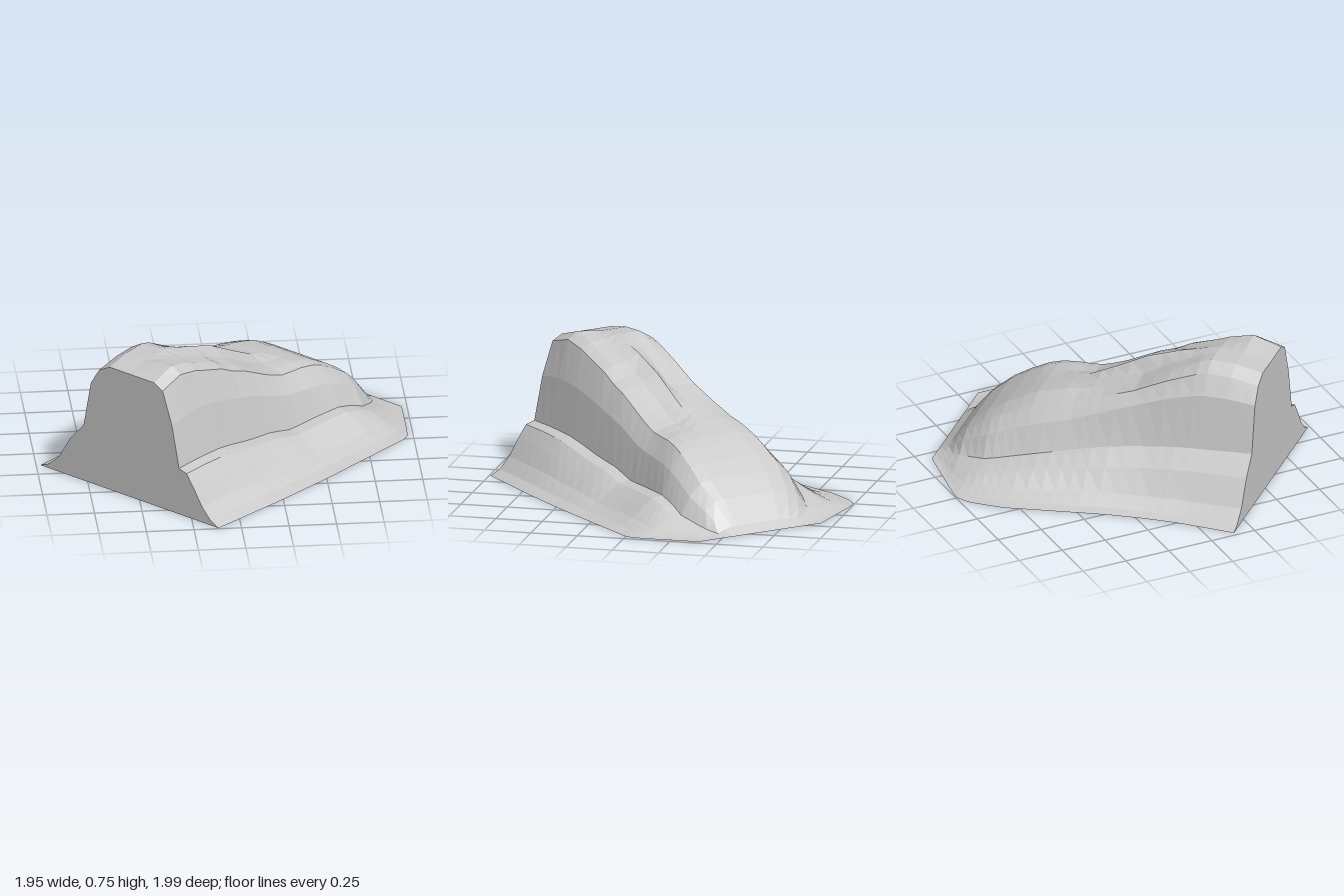
import * as THREE from 'three';

// Piecewise linear lookup in a list of [s, value] pairs
function rail(table, s) {
  for (let i = 1; i < table.length; i++) {
    const [s0, v0] = table[i - 1];
    const [s1, v1] = table[i];
    if (s <= s1) return v0 + (v1 - v0) * (s - s0) / (s1 - s0);
  }
  return table[table.length - 1][1];
}

// Rails running along the spur: s is the distance from the cut face
const outlineLeft = [[0, -0.603], [0.31, -0.595], [0.5, -0.607], [0.7, -0.631], [1.06, -0.70], [1.24, -0.735], [1.434, -0.735], [1.51, -0.70], [1.756, -0.352]];
const outlineRight = [[0, 0.606], [0.42, 0.641], [0.8, 0.66], [1.458, 0.668], [1.508, 0.65], [1.756, 0.402]];
const ledgeLeft = [[0, -0.31], [0.6, -0.34], [1.14, -0.40], [1.44, -0.417], [1.6, -0.36], [1.756, -0.25]];
const ledgeRight = [[0, 0.338], [0.4, 0.325], [0.8, 0.315], [1.1, 0.325], [1.3, 0.345], [1.5, 0.35], [1.64, 0.29], [1.756, 0.21]];
const ledgeLeftHeight = [[0, 0.32], [0.4, 0.30], [0.8, 0.25], [1.14, 0.17], [1.44, 0.09], [1.6, 0.055], [1.7, 0.02], [1.756, 0]];
const ledgeRightHeight = [[0, 0.265], [0.18, 0.263], [0.37, 0.25], [0.62, 0.20], [0.78, 0.18], [0.94, 0.14], [1.3, 0.145], [1.4, 0.12], [1.5, 0.08], [1.64, 0.03], [1.7, 0.012], [1.756, 0]];
const crestHeight = [[0, 0.71], [0.15, 0.74], [0.28, 0.745], [0.34, 0.735], [0.5, 0.69], [0.68, 0.625], [0.86, 0.53], [1, 0.46], [1.15, 0.42], [1.23, 0.40], [1.3, 0.37], [1.4, 0.315], [1.5, 0.25], [1.6, 0.165], [1.65, 0.105], [1.7, 0.04], [1.756, 0]];
// Humps and gullies on each shoulder of the crest
const reliefLeft = [[0, 0], [0.3, 0], [0.45, -0.035], [0.68, -0.085], [0.86, -0.04], [1.0, 0], [1.1, 0.01], [1.3, 0], [1.756, 0]];
const reliefRight = [[0, 0], [0.15, 0.015], [0.33, -0.035], [0.5, -0.045], [0.6, -0.065], [0.9, -0.06], [1.05, -0.035], [1.15, -0.01], [1.3, 0], [1.756, 0]];

// Cross-section rules: [width fraction, height fraction, height fraction at the nose, share of relief]
const footLeft = [[0, 0], [0.17, 0.06], [0.41, 0.25], [0.7, 0.69], [1, 1]];
const cliffLeft = [[0.84, 0.67, 0.55, 0.2], [0.66, 0.9, 0.88, 0.6], [0.43, 1, 1, 1], [0.2, 1, 1, 0.8]];
const cliffRight = [[0.25, 1, 1, 0.7], [0.5, 1, 1, 1], [0.67, 0.93, 0.93, 0.8], [0.855, 0.53, 0.55, 0.15]];
const footRight = [[0, 1], [0.19, 0.94], [0.37, 0.68], [0.58, 0.34], [0.79, 0.11], [1, 0]];

// One section as a list of [across, height]
function section(s) {
  const wl = rail(outlineLeft, s), wr = rail(outlineRight, s);
  const bl = rail(ledgeLeft, s), br = rail(ledgeRight, s);
  const hl = rail(ledgeLeftHeight, s), hr = rail(ledgeRightHeight, s);
  const top = rail(crestHeight, s);
  const nose = rail([[0, 0], [0.45, 0.1], [1.3, 1], [1.756, 1]], s);
  const climb = (b, h, relief) => ([f, y0, y1, share]) =>
    [b * f, h + (top - h) * (y0 + (y1 - y0) * nose) + relief * share];
  return [
    ...footLeft.map(([f, y]) => [wl + (bl - wl) * f, hl * y]),
    ...cliffLeft.map(climb(bl, hl, rail(reliefLeft, s))),
    [0, top],
    ...cliffRight.map(climb(br, hr, rail(reliefRight, s))),
    ...footRight.map(([f, y]) => [br + (wr - br) * f, hr * y]),
  ];
}

// Local (along, across, height) to model space
const place = (s, w, y) => [-0.55 + 0.705 * s + 0.709 * w, y, 0.565 - 0.709 * s + 0.705 * w];

function quadsToGeometry(quads) {
  const positions = [];
  for (const [a, b, c, d] of quads) positions.push(...a, ...b, ...c, ...a, ...c, ...d);
  const geometry = new THREE.BufferGeometry();
  geometry.setAttribute('position', new THREE.Float32BufferAttribute(positions, 3));
  geometry.computeVertexNormals();
  return geometry;
}

export function createModel() {
  const group = new THREE.Group();
  group.name = 'rockSpur';
  const stone = new THREE.MeshStandardMaterial({ color: 0xcacaca, flatShading: true });
  stone.name = 'greyStone';

  const stations = [0, 0.07, 0.15, 0.22, 0.28, 0.34, 0.42, 0.5, 0.59, 0.68, 0.77, 0.86, 0.93, 1, 1.075,
    1.15, 1.23, 1.3, 1.35, 1.4, 1.45, 1.5, 1.55, 1.6, 1.65, 1.7, 1.756];
  const rows = stations.map((s) => section(s).map(([w, y]) => place(s, w, y)));
  const last = rows[0].length - 1;

  const slopes = [], underside = [], cutFace = [];
  for (let i = 0; i < rows.length - 1; i++) {
    const p = rows[i], q = rows[i + 1];
    for (let j = 0; j < last; j++) slopes.push([p[j], p[j + 1], q[j + 1], q[j]]);
    underside.push([p[0], q[0], q[last], p[last]]);
  }
  // Flat cut end, filled down to the ground
  const ground = ([x, , z]) => [x, 0, z];
  for (let j = 0; j < last; j++) {
    const a = rows[0][j], b = rows[0][j + 1];
    cutFace.push([ground(a), ground(b), b, a]);
  }

  for (const [name, quads] of Object.entries({ slopes, underside, cutFace })) {
    const mesh = new THREE.Mesh(quadsToGeometry(quads), stone);
    mesh.name = name;
    group.add(mesh);
  }
  return group;
}
